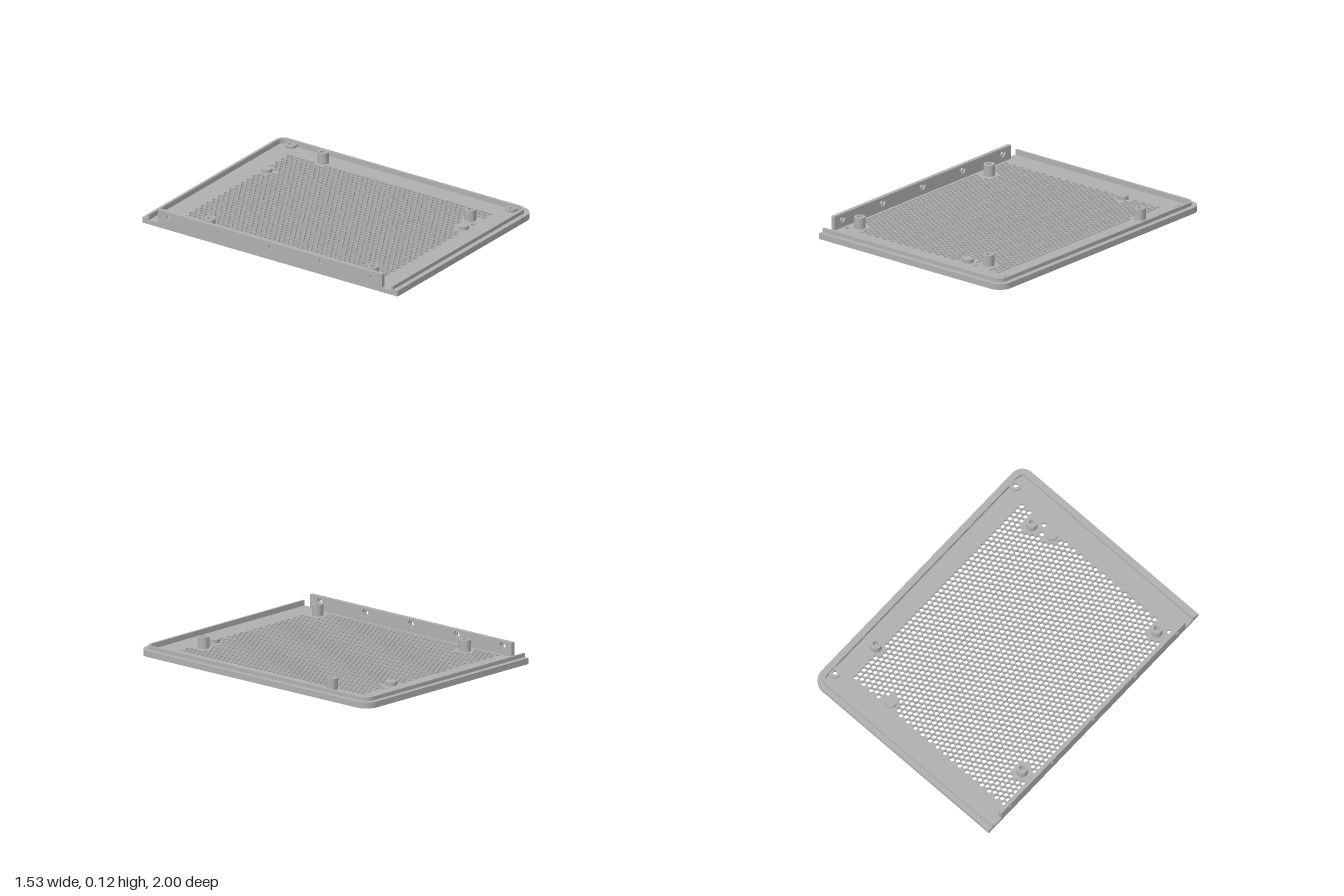
import * as THREE from 'three';
import { toCreasedNormals } from 'three/addons/utils/BufferGeometryUtils.js';

const HX = 0.765, HZ = 1, CORNER = 0.09, FLOOR = 0.03;

export function createModel() {
  const model = new THREE.Group();
  model.name = 'ventilatedCover';
  const grey = new THREE.MeshStandardMaterial({ color: 0xb0b0b0 });
  grey.name = 'grey plastic';

  const add = (name, geometry, x = 0, y = 0, z = 0) => {
    const mesh = new THREE.Mesh(geometry, grey);
    mesh.name = name;
    mesh.position.set(x, y, z);
    model.add(mesh);
    return mesh;
  };
  const extrude = (shape, depth) => toCreasedNormals(
    new THREE.ExtrudeGeometry(shape, { depth, bevelEnabled: false, curveSegments: 16 }), 0.6);
  // Shape lying flat: shape y becomes -z
  const slab = (name, shape, y0, y1) =>
    add(name, extrude(shape, y1 - y0).rotateX(-Math.PI / 2), 0, y0, 0);
  const polygon = (x, y, r, sides) => {
    const pts = [];
    for (let i = 0; i < sides; i++) {
      const a = (i / sides) * Math.PI * 2;
      pts.push(new THREE.Vector2(x + r * Math.cos(a), y + r * Math.sin(a)));
    }
    return new THREE.Path(pts);
  };

  // U-shaped outline, open on the left, rounded on the right
  const outline = (inset) => {
    const pts = [new THREE.Vector2(-HX, -HZ + inset)];
    const r = CORNER - inset;
    for (const side of [-1, 1]) {
      for (let i = 0; i <= 12; i++) {
        const a = (side < 0 ? -Math.PI / 2 : 0) + (i / 12) * Math.PI / 2;
        pts.push(new THREE.Vector2(
          HX - CORNER + r * Math.cos(a), side * (HZ - CORNER) + r * Math.sin(a)));
      }
    }
    pts.push(new THREE.Vector2(-HX, HZ - inset));
    return pts;
  };
  const band = (a, b) => new THREE.Shape([...outline(a), ...outline(b).reverse()]);

  // Positions of posts, pads and corner screws as [x, z]
  const posts = [[-0.65, -0.555], [0.615, -0.555], [-0.65, 0.73], [0.43, 0.73]];
  const pads = [[0.29, -0.77], [0.29, 0.77]];
  const screws = [[0.69, -0.862], [0.69, 0.862]];

  // Floor plate with honeycomb vents, left solid around posts and pads
  const floor = new THREE.Shape(outline(0));
  const dx = 0.0319, dz = 0.0367;
  for (let col = 0; col <= 40; col++) {
    const rows = col % 2 ? 43 : 44;
    for (let row = 0; row < rows; row++) {
      const x = -0.705 + col * dx, z = (row - (rows - 1) / 2) * dz;
      const blocked = [...posts, ...pads].some(([px, pz]) => Math.hypot(x - px, z - pz) < 0.065);
      if (!blocked) floor.holes.push(polygon(x, -z, 0.0172, 6));
    }
  }
  for (const [x, z] of screws) floor.holes.push(polygon(x, -z, 0.021, 24));
  slab('ventedFloor', floor, 0, FLOOR);

  // Stepped edge: low outer rim and taller inner lip
  slab('outerRim', band(0, 0.034), FLOOR, 0.04);
  slab('innerLip', band(0.034, 0.05), FLOOR, 0.065);

  // Corner screw seats joined to the lip
  for (const [x, z] of screws) {
    const seat = new THREE.Shape();
    seat.moveTo(0.722, -z - 0.035);
    seat.lineTo(0.722, -z + 0.035);
    seat.lineTo(x, -z + 0.035);
    seat.absarc(x, -z, 0.035, Math.PI / 2, Math.PI * 1.5, false);
    seat.holes.push(polygon(x, -z, 0.016, 24));
    slab('screwSeat', seat, FLOOR, 0.05);
  }

  // Hollow mounting posts with blind holes
  const profile = [[0.037, 0], [0.037, 0.075], [0.018, 0.075], [0.018, 0.012], [0, 0.012]]
    .map(([r, y]) => new THREE.Vector2(r, y));
  for (const [x, z] of posts) {
    add('mountingPost', toCreasedNormals(new THREE.LatheGeometry(profile, 32), 0.6), x, FLOOR, z);
  }

  // Solid round pads
  for (const [x, z] of pads) {
    add('roundPad', new THREE.CylinderGeometry(0.037, 0.037, 0.025, 32), x, FLOOR + 0.0125, z);
  }

  // Upright flange in two layers: round holes outside, hexagonal nut pockets inside
  const flange = (name, x0, x1, radius, sides) => {
    const shape = new THREE.Shape([[-0.877, FLOOR], [0.877, FLOOR], [0.877, 0.123], [-0.877, 0.123]]
      .map(([x, y]) => new THREE.Vector2(x, y)));
    for (let i = -2; i <= 2; i++) shape.holes.push(polygon(i * 0.398, 0.087, radius, sides));
    add(name, extrude(shape, x1 - x0).rotateY(Math.PI / 2), x0, 0, 0);
  };
  flange('flangeOuterLayer', -HX, -0.752, 0.015, 24);
  flange('flangeInnerLayer', -0.752, -0.738, 0.027, 6);

  return model;
}
